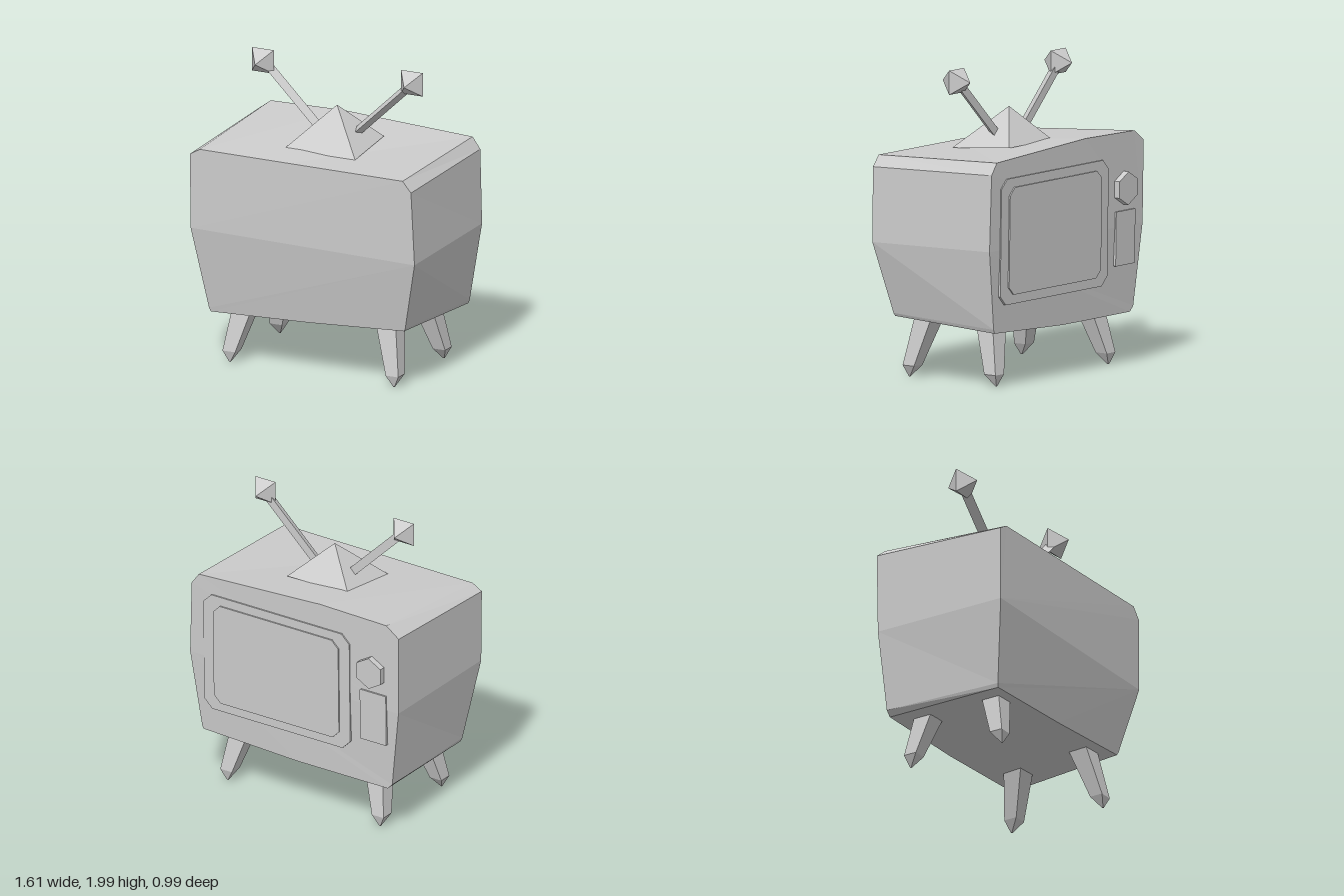
import * as THREE from 'three';

const grey = new THREE.MeshStandardMaterial({ color: 0xcccccc });

// Flat-faced mesh from any geometry
function mesh(name, geometry, parent) {
  const g = geometry.index ? geometry.toNonIndexed() : geometry;
  g.computeVertexNormals();
  const m = new THREE.Mesh(g, grey);
  m.name = name;
  parent.add(m);
  return m;
}

// Skin between rings listed clockwise as seen from the first ring's outer side.
// mid splits each end cap in two fans (0..mid and mid..0).
function loft(rings, mid) {
  const n = rings[0].length, out = [];
  const tri = (a, b, c) => out.push(...a, ...b, ...c);
  for (let r = 0; r < rings.length - 1; r++) {
    const f = rings[r], b = rings[r + 1];
    for (let i = 0; i < n; i++) {
      const j = (i + 1) % n;
      tri(f[i], f[j], b[j]);
      tri(f[i], b[j], b[i]);
    }
  }
  const first = rings[0], last = rings[rings.length - 1];
  const cap = (s, e) => {
    for (let i = s + 1; i < e; i++) {
      const a = s % n, b = i % n, c = (i + 1) % n;
      tri(first[a], first[c], first[b]);
      tri(last[a], last[b], last[c]);
    }
  };
  cap(0, mid);
  cap(mid, n);
  const g = new THREE.BufferGeometry();
  g.setAttribute('position', new THREE.Float32BufferAttribute(out, 3));
  return g;
}

// Rectangle with cut corners
function cutRect(Type, x0, x1, y0, y1, c) {
  const pts = [[x0 + c, y0], [x1 - c, y0], [x1, y0 + c], [x1, y1 - c],
    [x1 - c, y1], [x0 + c, y1], [x0, y1 - c], [x0, y0 + c]];
  return new Type(pts.map(([x, y]) => new THREE.Vector2(x, y)));
}

const extrude = (shape, depth) => new THREE.ExtrudeGeometry(shape, { depth, bevelEnabled: false });

export function createModel() {
  const model = new THREE.Group();
  model.name = 'television';

  // Crooked cabinet: plain side at +z, screen side at -z
  const front = [
    [-0.8, 0.9, 0.475], [-0.805, 1.39, 0.475], [-0.735, 1.43, 0.475], [-0.1, 1.43, 0.482],
    [0.72, 1.43, 0.49], [0.78, 1.36, 0.49], [0.8, 0.88, 0.48],
    [0.69, 0.42, 0.395], [0.68, 0.40, 0.39], [0, 0.36, 0.39], [-0.7, 0.335, 0.39], [-0.71, 0.36, 0.395]];
  const back = [
    [-0.8, 0.9, -0.455], [-0.805, 1.43, -0.46], [-0.71, 1.5, -0.46], [-0.2, 1.51, -0.46],
    [0.73, 1.465, -0.46], [0.785, 1.39, -0.46], [0.8, 0.9, -0.455],
    [0.725, 0.39, -0.43], [0.715, 0.365, -0.43], [0, 0.335, -0.43], [-0.7, 0.335, -0.43], [-0.735, 0.37, -0.43]];
  mesh('cabinet', loft([front, back], 6), model);

  // Screen face details, tilted with the cabinet
  const panel = new THREE.Group();
  panel.name = 'controlFace';
  panel.position.set(0, 1.14, -0.465);
  panel.rotation.x = -0.015;
  model.add(panel);
  const frame = cutRect(THREE.Shape, -0.43, 0.69, -0.6, 0.21, 0.06);
  frame.holes.push(cutRect(THREE.Path, -0.35, 0.61, -0.54, 0.15, 0.05));
  mesh('screenFrame', extrude(frame, 0.02), panel);
  mesh('screen', extrude(cutRect(THREE.Shape, -0.35, 0.61, -0.54, 0.15, 0.05), 0.02), panel)
    .position.z = -0.009;
  mesh('speakerPanel', extrude(cutRect(THREE.Shape, -0.71, -0.51, -0.49, -0.14, 0.004), 0.02), panel)
    .position.z = -0.004;
  const knob = new THREE.CylinderGeometry(0.107, 0.107, 0.06, 6);
  knob.rotateY(Math.PI / 6).rotateX(Math.PI / 2).rotateZ(0);
  // Turn so two corners point sideways
  knob.rotateZ(Math.PI / 6 * (Math.abs(knob.attributes.position.getX(0)) > 0.1 ? 0 : 1));
  mesh('knob', knob, panel).position.set(-0.598, 0.005, -0.002);

  // Splayed legs with pointed ends
  const square = (x, y, z, w, d) => [[-1, -1], [1, -1], [1, 1], [-1, 1]]
    .map(([a, b]) => [x + a * w, y, z + b * d]);
  for (const sx of [-1, 1]) for (const sz of [-1, 1]) {
    mesh('leg', loft([
      square(sx * 0.495, 0.45, sz * 0.23, 0.075, 0.07),
      square(sx * 0.582, 0.08, sz * 0.325, 0.045, 0.045),
      square(sx * 0.585, 0.005, sz * 0.345, 0.004, 0.004)], 2), model);
  }

  // Antenna base pyramid
  const apex = [0, 1.7, 0];
  mesh('antennaBase', loft([
    [apex, apex, apex, apex],
    [[-0.22, 1.475, -0.175], [0.24, 1.475, -0.185], [0.26, 1.44, 0.255], [-0.25, 1.44, 0.255]]], 2), model);

  // Rods and bipyramid tips
  for (const side of [-1, 1]) {
    const tipX = side < 0 ? -0.525 : 0.538;
    const a = new THREE.Vector3(side * 0.145, 1.545, 0.005);
    const b = new THREE.Vector3(tipX - side * 0.04, 1.88, 0.005);
    const rod = mesh('antennaRod', new THREE.CylinderGeometry(0.038, 0.038, a.distanceTo(b), 3).scale(0.85, 1, 1), model);
    rod.position.copy(a).add(b).multiplyScalar(0.5);
    rod.rotation.z = -Math.atan2(b.x - a.x, b.y - a.y);
    const tip = new THREE.OctahedronGeometry(0.11).rotateZ(Math.PI / 4);
    mesh('antennaTip', tip, model).position.set(tipX, 1.922, 0.008);
  }
  return model;
}
